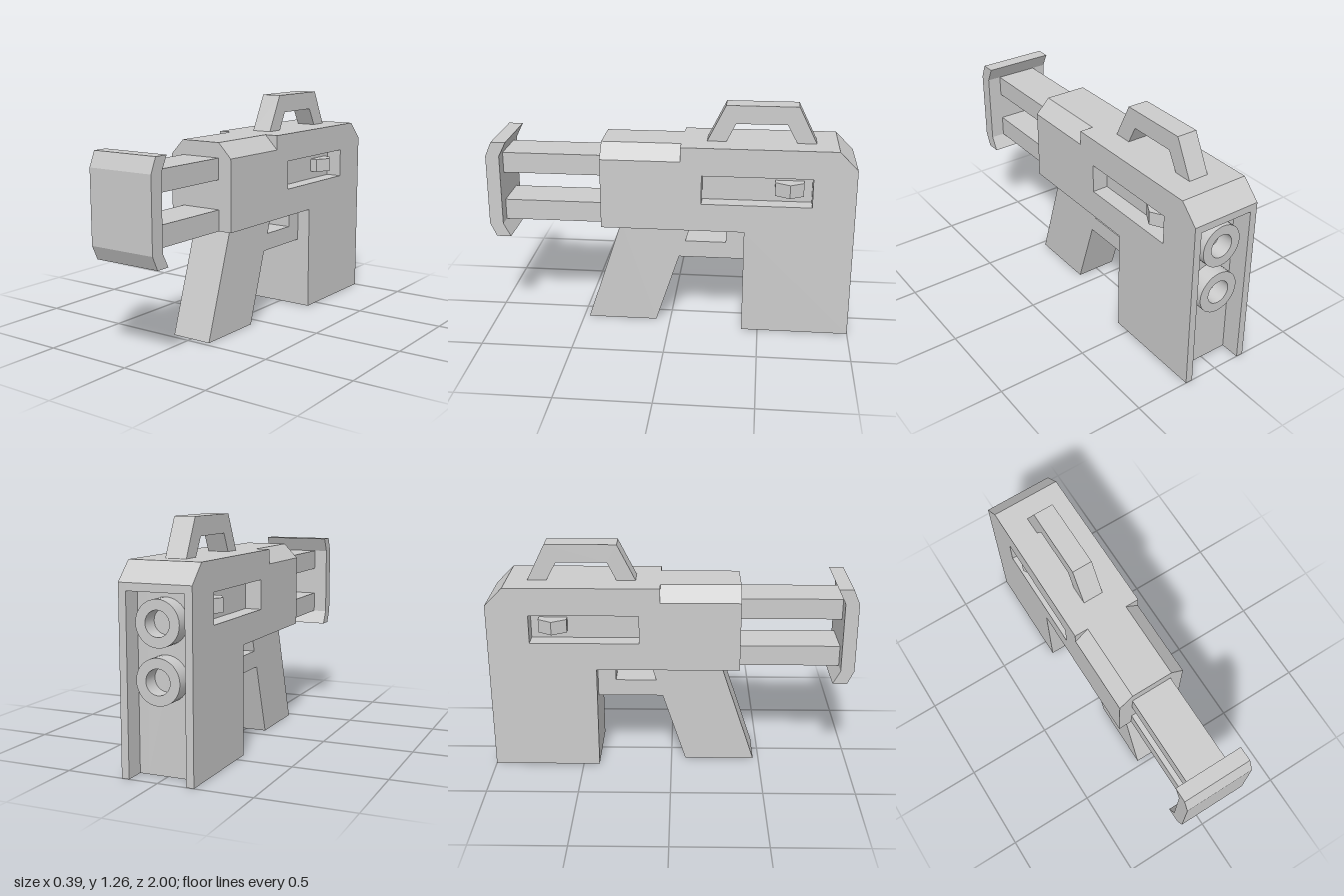
import * as THREE from 'three';

const mat = new THREE.MeshStandardMaterial({ color: 0xcccccc, flatShading: true });
const smooth = new THREE.MeshStandardMaterial({ color: 0xcccccc });
const HALF = 0.195;   // half width of the body
const INNER = 0.155;  // inside of the rear side walls
const FLOOR = 0.105;  // floor of the side windows

export function createModel() {
  const model = new THREE.Group();
  const add = (name, geometry, material = mat) => {
    const mesh = new THREE.Mesh(geometry, material);
    mesh.name = name;
    model.add(mesh);
    return mesh;
  };

  // Side profile of [z, y] points extruded from x0 to x1
  const slab = (name, points, x0, x1, hole) => {
    const toVec = ([z, y]) => new THREE.Vector2(-z, y);
    const shape = new THREE.Shape(points.map(toVec));
    if (hole) shape.holes.push(new THREE.Path(hole.map(toVec)));
    const g = new THREE.ExtrudeGeometry(shape, { depth: x1 - x0, bevelEnabled: false });
    g.translate(0, 0, x0).rotateY(Math.PI / 2);
    return add(name, g);
  };

  // Body: side walls, window layer and core, with a recess in the rear
  const front = [[-0.41, 0], [-0.41, 0.59], [0.375, 0.59], [0.375, 0.98], [-0.06, 0.98], [-0.06, 1.06], [-0.9, 1.06], [-1, 0.96]];
  const wall = [...front, [-1, 0]];
  const recessed = [...front, [-1, 0.92], [-0.89, 0.92], [-0.89, 0]];
  const sideWindow = [[-0.175, 0.745], [-0.77, 0.745], [-0.77, 0.905], [-0.175, 0.905]];
  slab('bodyCore', recessed, -FLOOR, FLOOR);
  for (const s of [-1, 1]) {
    const span = (a, b) => (s > 0 ? [a, b] : [-b, -a]);
    slab('bodyWindowLayer', recessed, ...span(FLOOR, INNER), sideWindow);
    slab('bodySideWall', wall, ...span(INNER, HALF), sideWindow);
  }

  // Front top cover with sloped edges
  const cover = new THREE.Shape([[-HALF, 0.98], [HALF, 0.98], [0.118, 1.06], [-0.118, 1.06]].map(p => new THREE.Vector2(...p)));
  add('frontTopCover', new THREE.ExtrudeGeometry(cover, { depth: 0.435, bevelEnabled: false }).translate(0, 0, -0.06));

  // Ridged bolt catch in each window, drawn in plan as [z, x]
  const ridge = [[-0.57, 0], [-0.57, 0.145], [-0.65, 0.19], [-0.725, 0.145], [-0.725, 0]];
  for (const s of [-1, 1]) {
    const plan = new THREE.Shape(ridge.map(([z, x]) => new THREE.Vector2(s * x, -z)));
    const g = new THREE.ExtrudeGeometry(plan, { depth: 0.075, bevelEnabled: false });
    add('boltCatch', g.rotateX(-Math.PI / 2).translate(0, 0.79, 0));
  }

  // Grip with the trigger guard, and carrying handle
  slab('gripAndGuard', [
    [0.275, 0.59], [0.47, 0], [0.08, 0], [-0.05, 0.4], [-0.41, 0.4], [-0.41, 0.495],
    [-0.41, 0.59], [-0.31, 0.59], [-0.31, 0.495], [-0.085, 0.495], [-0.115, 0.59],
  ], -0.118, 0.118);
  slab('carryHandle', [
    [-0.195, 1.06], [-0.295, 1.26], [-0.685, 1.26], [-0.785, 1.06],
    [-0.68, 1.06], [-0.625, 1.16], [-0.35, 1.16], [-0.3, 1.06],
  ], -0.057, 0.057);

  // Two bars carrying the front plate
  for (const y of [0.648, 0.922])
    add('plateBar', new THREE.BoxGeometry(0.235, 0.115, 0.56)).position.set(0, y, 0.65);
  slab('frontPlate', [
    [1, 0.59], [1, 0.98], [0.965, 1.06], [0.885, 1.06],
    [0.925, 0.98], [0.925, 0.59], [0.885, 0.515], [0.965, 0.515],
  ], -HALF, HALF);

  // Rear tubes: outside, rim and bore
  const R = 0.117, r = 0.065, z0 = 0.88, z1 = 0.98;
  const profile = [[R, z0], [R, z1], [r, z1], [r, z0]].map(p => new THREE.Vector2(...p));
  for (const y of [0.77, 0.49])
    for (let i = 0; i < 3; i++)
      add('rearTube', new THREE.LatheGeometry(profile.slice(i, i + 2), 32).rotateX(-Math.PI / 2), smooth).position.y = y;

  return model;
}
